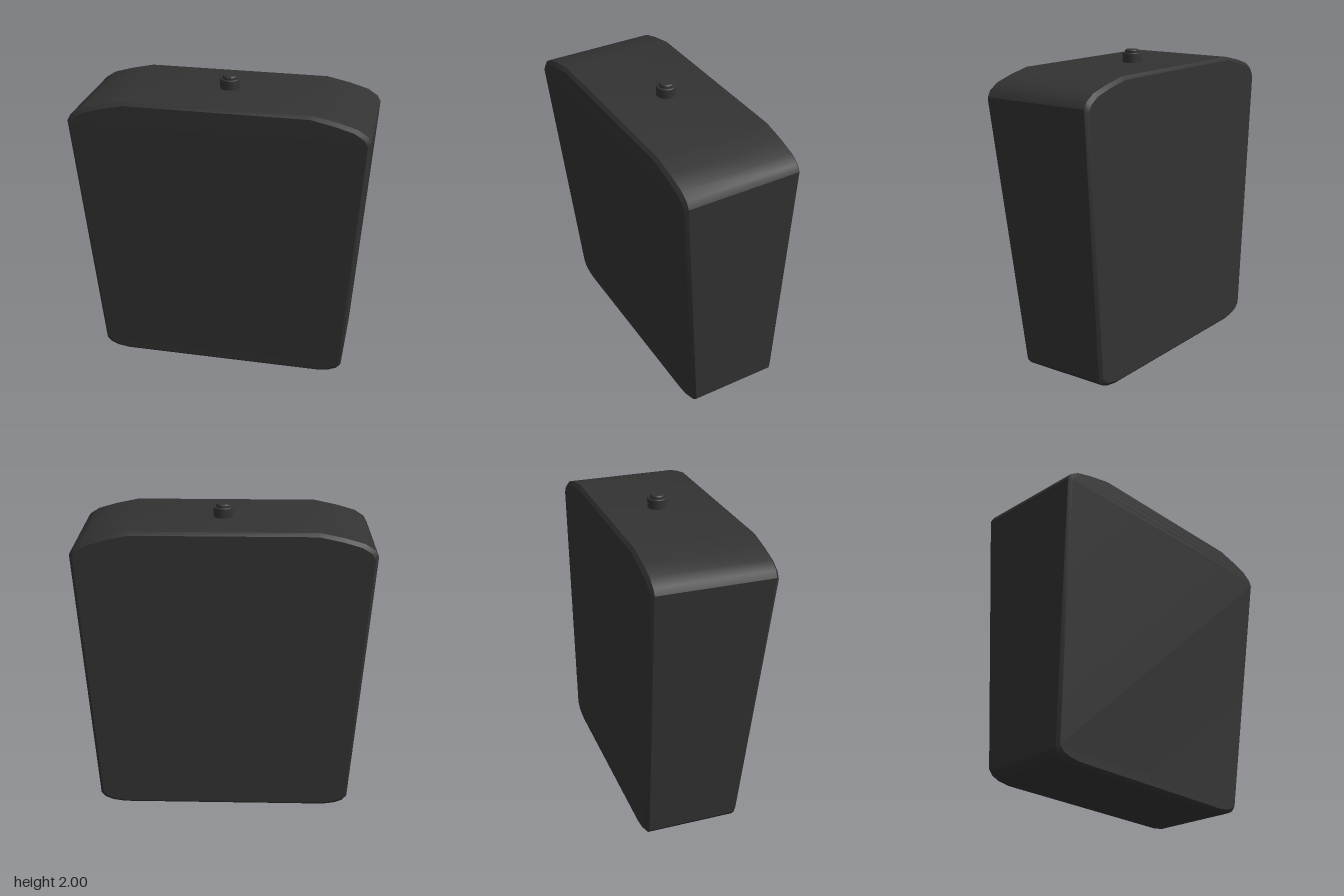
import * as THREE from 'three';
import { toCreasedNormals } from 'three/addons/utils/BufferGeometryUtils.js';

const material = new THREE.MeshStandardMaterial({ color: 0x333333 });

// Right half of the tank outline, bottom to top
const half = [
  [0.67, 0.003], [0.75, 0.015], [0.8, 0.036], [0.83, 0.07],
  [0.945, 1.77], [0.922, 1.81], [0.86, 1.85], [0.74, 1.885], [0.59, 1.917],
];
const BEVEL = 0.02, BACK = -0.39, MID_Y = 0.96;

// Front surface slopes outward from the bottom corners to the shoulders
const frontZ = (y) => THREE.MathUtils.mapLinear(THREE.MathUtils.clamp(y, 0.07, 1.77), 0.07, 1.77, 0.23, 0.39);

// Closed outline (counter-clockwise from the front), inset a little, at a depth given by y
function ring(inset, depth) {
  const mirrored = half.map(([x, y]) => [-x, y]).reverse();
  return [...half, ...mirrored].map(([x, y]) => new THREE.Vector3(
    x * (1 - inset / 0.94), MID_Y + (y - MID_Y) * (1 - inset / MID_Y), depth(y)));
}

function tankGeometry() {
  const rings = [
    ring(BEVEL, () => BACK),
    ring(0, () => BACK + BEVEL),
    ring(0, (y) => frontZ(y) - BEVEL),
    ring(BEVEL, frontZ),
  ];
  const n = rings[0].length;
  const points = [];
  const quad = (a, b, c, d) => points.push(a, b, c, a, c, d);
  // Walls and chamfers
  for (let r = 0; r < 3; r++) {
    for (let i = 0; i < n; i++) {
      const j = (i + 1) % n;
      quad(rings[r][i], rings[r][j], rings[r + 1][j], rings[r + 1][i]);
    }
  }
  // Front and back faces as horizontal strips between mirrored points
  const [back, front] = [rings[0], rings[3]];
  for (let i = 0; i < half.length - 1; i++) {
    const k = n - 1 - i;
    quad(front[k], front[i], front[i + 1], front[k - 1]);
    quad(back[i], back[k], back[k - 1], back[i + 1]);
  }
  return toCreasedNormals(new THREE.BufferGeometry().setFromPoints(points), 0.55);
}

function lathe(profile) {
  const geometry = new THREE.LatheGeometry(profile.map(([r, y]) => new THREE.Vector2(r, y)), 32);
  return toCreasedNormals(geometry, 0.5);
}

export function createModel() {
  const model = new THREE.Group();
  model.name = 'cistern';

  const add = (name, geometry, parent) => {
    const mesh = new THREE.Mesh(geometry, material);
    mesh.name = name;
    parent.add(mesh);
  };

  add('tank', tankGeometry(), model);

  // Push button on the lid: a collar with a smaller chamfered cap
  const button = new THREE.Group();
  button.name = 'flushButton';
  button.position.set(0.01, 1.91, -0.022);
  add('buttonCollar', lathe([[0.062, 0], [0.062, 0.066], [0.058, 0.07], [0.04, 0.07]]), button);
  add('buttonCap', lathe([[0.046, 0.065], [0.046, 0.082], [0.039, 0.09], [0, 0.09]]), button);
  model.add(button);

  return model;
}
